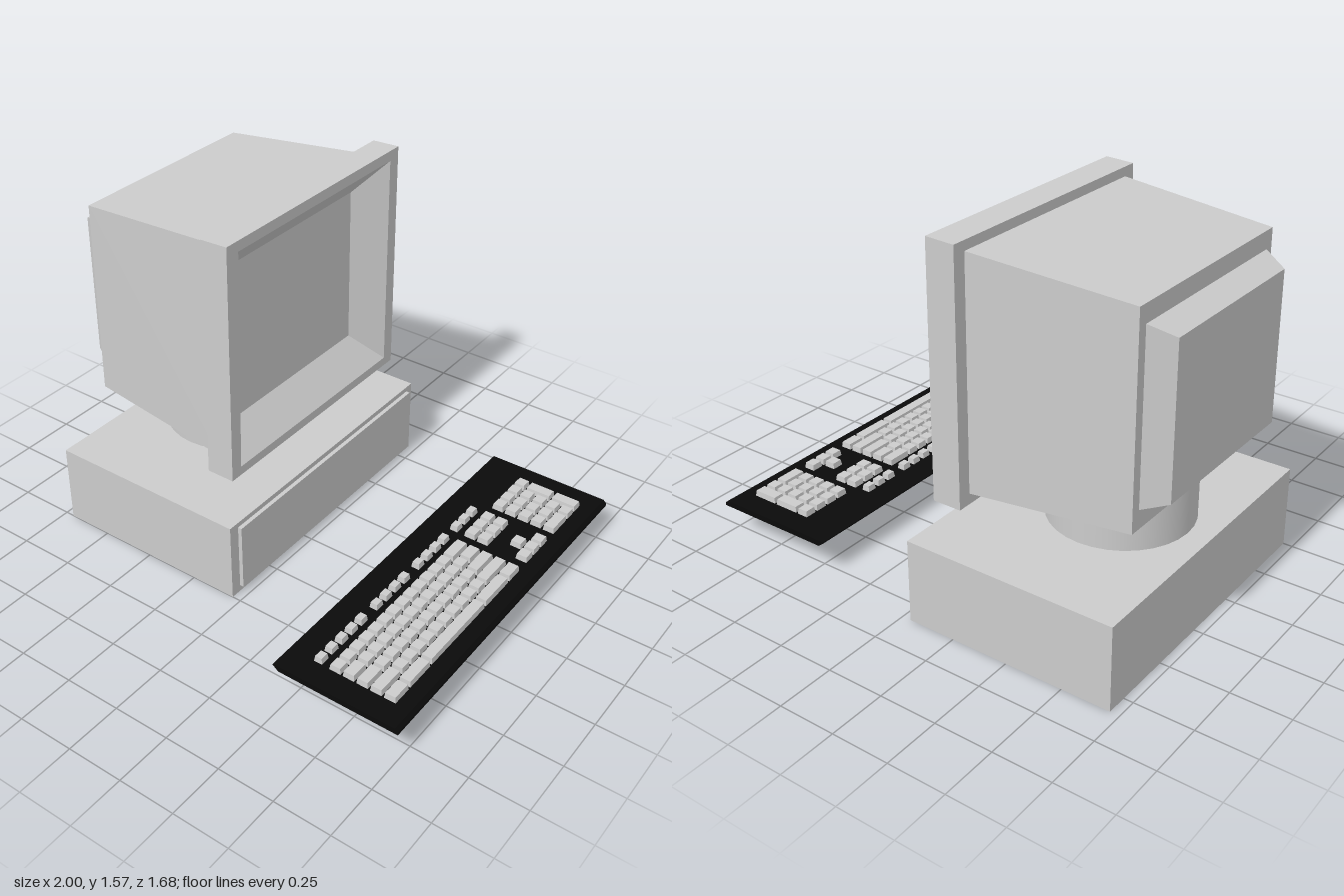
import * as THREE from 'three';
import { mergeGeometries } from 'three/addons/utils/BufferGeometryUtils.js';

const grey = new THREE.MeshStandardMaterial({ color: 0xcccccc });
const black = new THREE.MeshStandardMaterial({ color: 0x0a0a0a });

// Closed skin through rectangles [x, y0, y1, z0, z1, lean] stacked along x;
// lean pulls the upper +z corner inwards.
function loft(sections) {
  const rings = sections.map(([x, y0, y1, z0, z1, lean = 0]) => [
    [x, y0, z1], [x, y0, z0], [x, y1, z0], [x, y1, z1 - lean],
  ]);
  const pos = [];
  const quad = (a, b, c, d) => pos.push(...a, ...b, ...c, ...a, ...c, ...d);
  for (let s = 0; s < rings.length - 1; s++) {
    const a = rings[s], b = rings[s + 1];
    for (let i = 0; i < 4; i++) {
      const j = (i + 1) % 4;
      quad(a[i], a[j], b[j], b[i]);
    }
  }
  const first = rings[0], last = rings[rings.length - 1];
  quad(first[3], first[2], first[1], first[0]);
  quad(last[0], last[1], last[2], last[3]);
  const geo = new THREE.BufferGeometry();
  geo.setAttribute('position', new THREE.Float32BufferAttribute(pos, 3));
  geo.computeVertexNormals();
  return geo;
}

function box(x0, x1, y0, y1, z0, z1) {
  return new THREE.BoxGeometry(x1 - x0, y1 - y0, z1 - z0)
    .translate((x0 + x1) / 2, (y0 + y1) / 2, (z0 + z1) / 2);
}

// Key cap with a slightly smaller top
function keyCap(x0, x1, z0, z1) {
  const h = 0.03, inset = 0.004;
  const geo = new THREE.BoxGeometry(x1 - x0, h, z1 - z0);
  const p = geo.attributes.position;
  for (let i = 0; i < p.count; i++) {
    if (p.getY(i) < 0) continue;
    p.setX(i, p.getX(i) - Math.sign(p.getX(i)) * inset);
    p.setZ(i, p.getZ(i) - Math.sign(p.getZ(i)) * inset);
  }
  geo.computeVertexNormals();
  return geo.translate((x0 + x1) / 2, 0.155 + h / 2, (z0 + z1) / 2);
}

function buildKeys() {
  const keys = [];
  const pitch = 0.0625, gap = 0.009;
  const rowX = (r) => 0.622 + r * 0.0617;
  // r, z: first row and edge; nr, length: rows and length covered
  const add = (r, z, nr = 1, length = pitch) =>
    keys.push(keyCap(rowX(r), rowX(r + nr) - gap, z, z + length - gap));

  // Number pad
  const padZ = -0.715;
  add(0, padZ);
  add(1, padZ, 2);
  add(3, padZ, 2);
  for (let c = 1; c < 4; c++) for (let r = 0; r < 4; r++) add(r, padZ + c * pitch);
  add(4, padZ + pitch);
  add(4, padZ + 2 * pitch, 1, 2 * pitch);

  // Navigation block and arrows
  const navZ = -0.418;
  for (let c = 0; c < 3; c++) for (const r of [0, 1, 4]) add(r, navZ + c * pitch);
  add(3, navZ + pitch);

  // Small keys along the far edge
  const small = (z) => keys.push(keyCap(0.55, 0.588, z, z + 0.045));
  for (let c = 0; c < 3; c++) small(navZ + 0.006 + c * pitch);
  for (const start of [-0.182, 0.122, 0.427])
    for (let c = 0; c < 4; c++) small(start + c * 0.0655);
  small(0.69);

  // Main block, key widths in units from the -z end
  const ones = (n) => Array(n).fill(1);
  const rows = [
    [2, ...ones(13)],
    [1.5, ...ones(12), 1.5],
    [2.25, ...ones(11), 1.75],
    [2.75, ...ones(10), 2.25],
    [1.5, 3, 6.5, 2.4, 1.6],
  ];
  const unit = 0.928 / 15;
  rows.forEach((widths, r) => {
    let z = -0.182;
    for (const w of widths) {
      add(r, z, 1, w * unit);
      z += w * unit;
    }
  });
  return mergeGeometries(keys);
}

export function createModel() {
  const model = new THREE.Group();
  const part = (name, geo, mat = grey, parent = model) => {
    const mesh = new THREE.Mesh(geo, mat);
    mesh.name = name;
    parent.add(mesh);
  };

  // Computer case with a raised front panel
  part('case', box(-0.96, -0.04, 0, 0.36, -0.84, 0.5));
  part('casePanel', box(-0.04, -0.022, 0.03, 0.337, -0.8, 0.45));

  // Round monitor stand
  part('stand', new THREE.CylinderGeometry(0.3, 0.3, 0.25, 32).translate(-0.565, 0.48, -0.17));

  // Monitor: tapered housing with rear bulge, and bezel sloping in to the screen
  const monitor = new THREE.Group();
  monitor.name = 'monitor';
  model.add(monitor);
  part('housing', loft([
    [-1, 0.72, 1.35, -0.55, 0.2],
    [-0.9, 0.685, 1.39, -0.595, 0.245],
    [-0.9, 0.605, 1.465, -0.637, 0.288, 0.005],
    [-0.225, 0.56, 1.52, -0.69, 0.342, 0.013],
  ]), grey, monitor);
  part('bezelAndScreen', loft([
    [-0.225, 0.515, 1.56, -0.748, 0.402, 0.015],
    [-0.1, 0.515, 1.565, -0.748, 0.402, 0.015],
    [-0.1, 0.555, 1.52, -0.69, 0.345, 0.025],
    [-0.215, 0.69, 1.39, -0.57, 0.235],
  ]), grey, monitor);

  // Keyboard: thin tray with chamfered long edges, and keys
  const keyboard = new THREE.Group();
  keyboard.name = 'keyboard';
  model.add(keyboard);
  part('keyboardTray', loft([
    [0.435, 0.155, 0.16, -0.815, 0.84],
    [0.46, 0.135, 0.16, -0.815, 0.84],
    [0.985, 0.135, 0.16, -0.815, 0.84],
    [1, 0.135, 0.147, -0.815, 0.84],
  ]), black, keyboard);
  part('keys', buildKeys(), grey, keyboard);

  return model;
}
